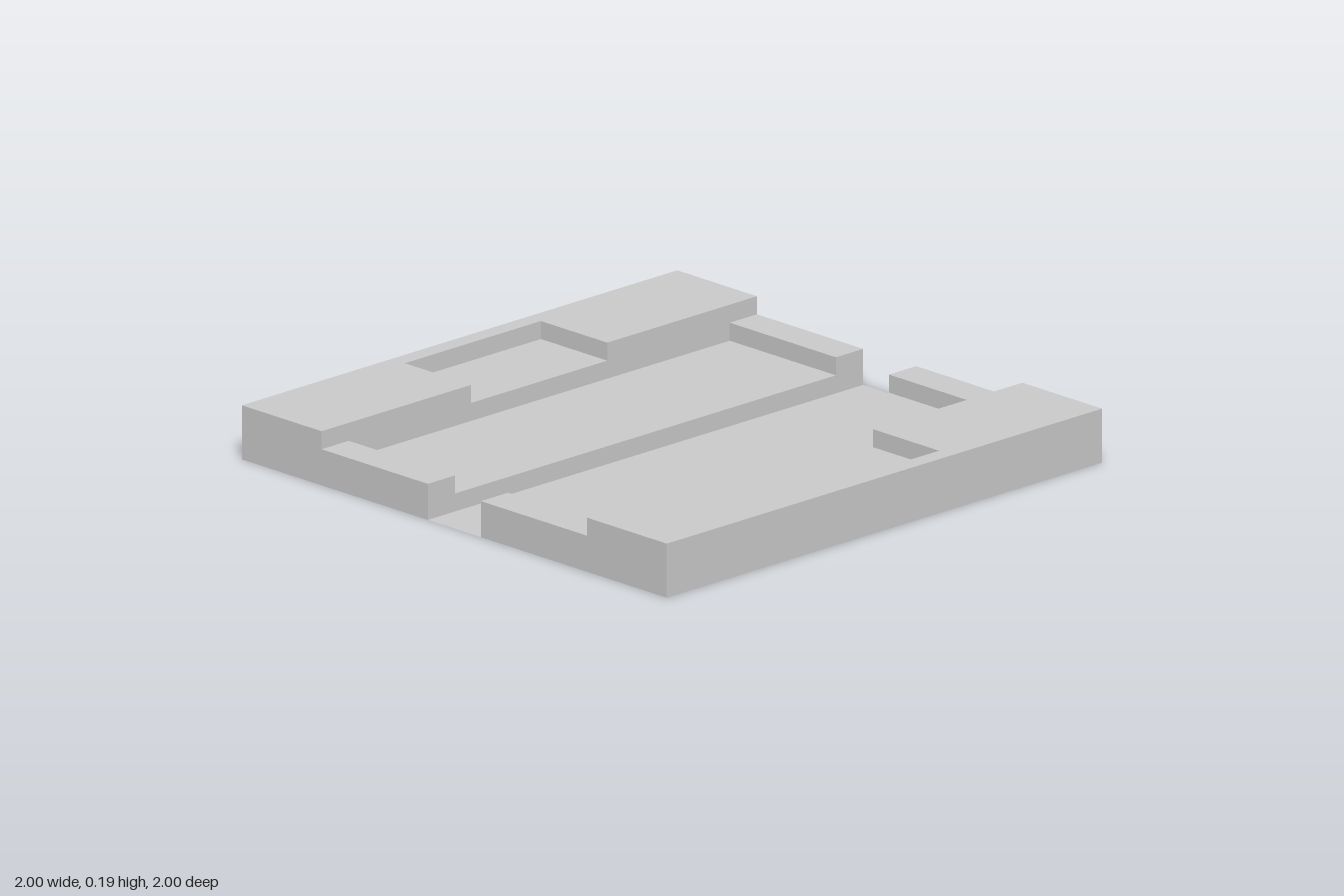
import * as THREE from 'three';

const U = 1 / 16; // every dimension is a multiple of this step
const material = new THREE.MeshStandardMaterial({ color: 0xcccccc, flatShading: true });

// Height of the stepped surface at a point (the same in all four quadrants)
function heightAt(x, z) {
  const ax = Math.abs(x), az = Math.abs(z);
  if (ax > 1 || az > 1 || az < 2 * U) return 0;
  if (az < 10 * U) return ax > 14 * U ? 2 * U : U;       // end ledges, recessed bay
  return ax < 5 * U && az < 15 * U ? 2 * U : 3 * U;      // notch, outer rail
}

// Closed stepped solid: one top per cell, plus walls wherever the height changes
function steppedPlate(xs, zs) {
  const pos = [];
  const quad = (o, u, v) => {
    const a = new THREE.Vector3(...o), du = new THREE.Vector3(...u), dv = new THREE.Vector3(...v);
    const b = a.clone().add(du), c = b.clone().add(dv), d = a.clone().add(dv);
    for (const p of [a, b, c, a, c, d]) pos.push(p.x, p.y, p.z);
  };
  const cell = (i, j) => {
    if (i < 0 || j < 0 || i >= xs.length - 1 || j >= zs.length - 1) return 0;
    return heightAt((xs[i] + xs[i + 1]) / 2, (zs[j] + zs[j + 1]) / 2);
  };
  for (let i = 0; i < xs.length; i++) {
    for (let j = 0; j < zs.length; j++) {
      const h = cell(i, j), x = xs[i], z = zs[j];
      const dx = xs[i + 1] - x, dz = zs[j + 1] - z;
      const inX = i < xs.length - 1, inZ = j < zs.length - 1;
      if (inX && inZ) quad([x, h, z], [0, 0, dz], [dx, 0, 0]);
      const stepX = cell(i - 1, j) - h, stepZ = cell(i, j - 1) - h;
      if (inZ && stepX) quad([x, h, z], [0, stepX, 0], [0, 0, dz]);
      if (inX && stepZ) quad([x, h, z], [dx, 0, 0], [0, stepZ, 0]);
    }
  }
  // Underside
  const z0 = zs[0], z1 = zs[zs.length - 1];
  quad([-1, 0, z0], [2, 0, 0], [0, 0, z1 - z0]);

  const geometry = new THREE.BufferGeometry();
  geometry.setAttribute('position', new THREE.Float32BufferAttribute(pos, 3));
  geometry.computeVertexNormals();
  return geometry;
}

export function createModel() {
  const group = new THREE.Group();
  const add = (name, geometry, mat = material) => {
    const mesh = new THREE.Mesh(geometry, mat);
    mesh.name = name;
    group.add(mesh);
    return mesh;
  };

  // Two mirrored plates, each with a rail, notch, bay and end ledges
  const xs = [-16, -14, -5, 5, 14, 16].map((n) => n * U);
  const zs = [2, 10, 15, 16].map((n) => n * U);
  add('frontPlate', steppedPlate(xs, zs));
  add('backPlate', steppedPlate(xs, zs.map((z) => -z).reverse()));

  // Thin floor of the channel between the plates
  const thin = material.clone();
  thin.side = THREE.DoubleSide;
  add('channelFloor', new THREE.PlaneGeometry(2, 4 * U).rotateX(-Math.PI / 2), thin);

  return group;
}
